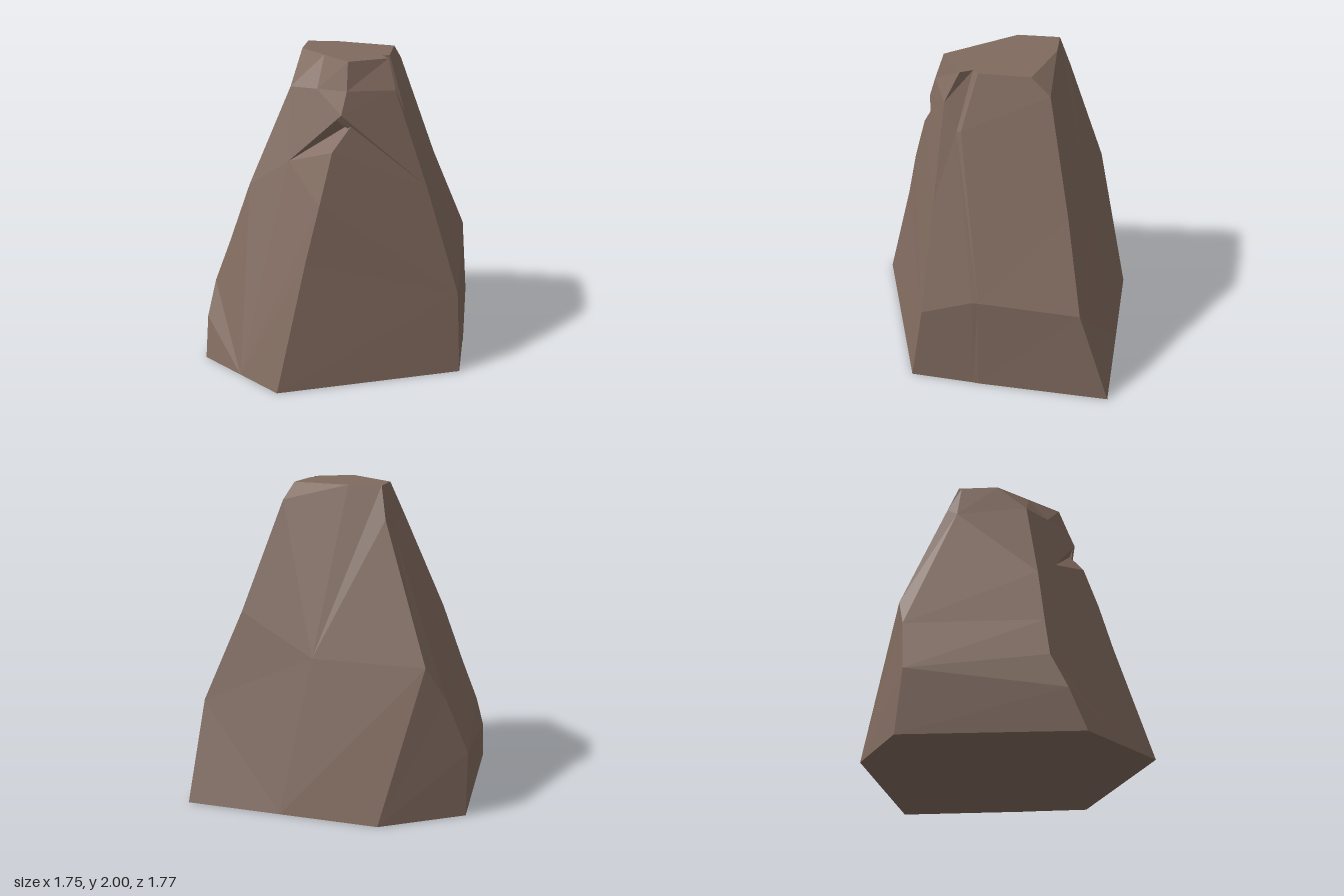
import * as THREE from 'three';

// Ridge lines of the rock from base to summit, in order around it (front, +x side, back, -x side)
const ridges = [
  // front ridge with a small overhanging ledge
  [[-.33, 0, .88], [-.17, .8, .67], [-.09, 1.15, .59], [-.02, 1.47, .5], [.11, 1.65, .41], [0, 1.655, .43], [.03, 1.69, .445], [.06, 1.83, .4], [.06, 2, .34]],
  // front corner on the +x side
  [[.81, 0, .48], [.78, .52, .4], [.56, 1.22, .34], [.35, 1.82, .29], [.3, 2, .2]],
  // cleft in the +x face, then its far edge
  [[.835, 0, .07], [.8, .65, .07], [.41, 1.65, .21], [.26, 2, .125]],
  [[.84, 0, .03], [.8, .65, .03], [.415, 1.66, .18], [.3, 2, .09]],
  // back corner on the +x side, cut off at the summit
  [[.87, 0, -.82], [.82, .63, -.61], [.59, 1.2, -.5], [.35, 1.9, -.35], [.31, 2, -.23]],
  // middle of the back face
  [[.25, 0, -.855], [.1, .95, -.61], [-.07, 2, -.35]],
  // bevelled back corner on the -x side
  [[-.38, 0, -.89], [-.62, .95, -.66], [-.32, 1.8, -.42], [-.28, 2, -.35]],
  [[-.88, 0, -.6], [-.88, .4, -.57], [-.74, .75, -.61], [-.35, 1.75, -.35], [-.28, 2, -.33]],
  // front corner on the -x side
  [[-.88, 0, .47], [-.88, .26, .37], [-.84, .48, .27], [-.74, .75, .24], [-.6, 1.15, .2], [-.33, 1.79, .12], [-.28, 2, -.08]],
  // crack across the front face
  [[-.605, 0, .675], [-.32, 1.35, .31], [-.14, 1.81, .26], [-.11, 2, .13]],
];

// Joins two neighbouring ridges with triangles, always climbing the lower one
function zip(a, b, out) {
  let i = 0, j = 0;
  while (i < a.length - 1 || j < b.length - 1) {
    const ya = i < a.length - 1 ? a[i + 1][1] : Infinity;
    const yb = j < b.length - 1 ? b[j + 1][1] : Infinity;
    if (ya < yb) out.push(...a[i], ...b[j], ...a[++i]);
    else out.push(...a[i], ...b[j], ...b[++j]);
  }
}

function facets(name, coords, material) {
  const geometry = new THREE.BufferGeometry();
  geometry.setAttribute('position', new THREE.Float32BufferAttribute(coords, 3));
  geometry.computeVertexNormals();
  const mesh = new THREE.Mesh(geometry, material);
  mesh.name = name;
  return mesh;
}

export function createModel() {
  const stone = new THREE.MeshStandardMaterial({ color: 0x806a5e, flatShading: true });
  stone.name = 'brown stone';

  const sides = [], summit = [], base = [];
  ridges.forEach((a, k) => {
    const b = ridges[(k + 1) % ridges.length];
    zip(a, b, sides);
    summit.push(0, 2, 0, ...a.at(-1), ...b.at(-1));
    base.push(0, 0, 0, ...b[0], ...a[0]);
  });

  const rock = new THREE.Group();
  rock.name = 'rock';
  rock.add(
    facets('rockSides', sides, stone),
    facets('rockSummit', summit, stone),
    facets('rockBase', base, stone),
  );
  return rock;
}
